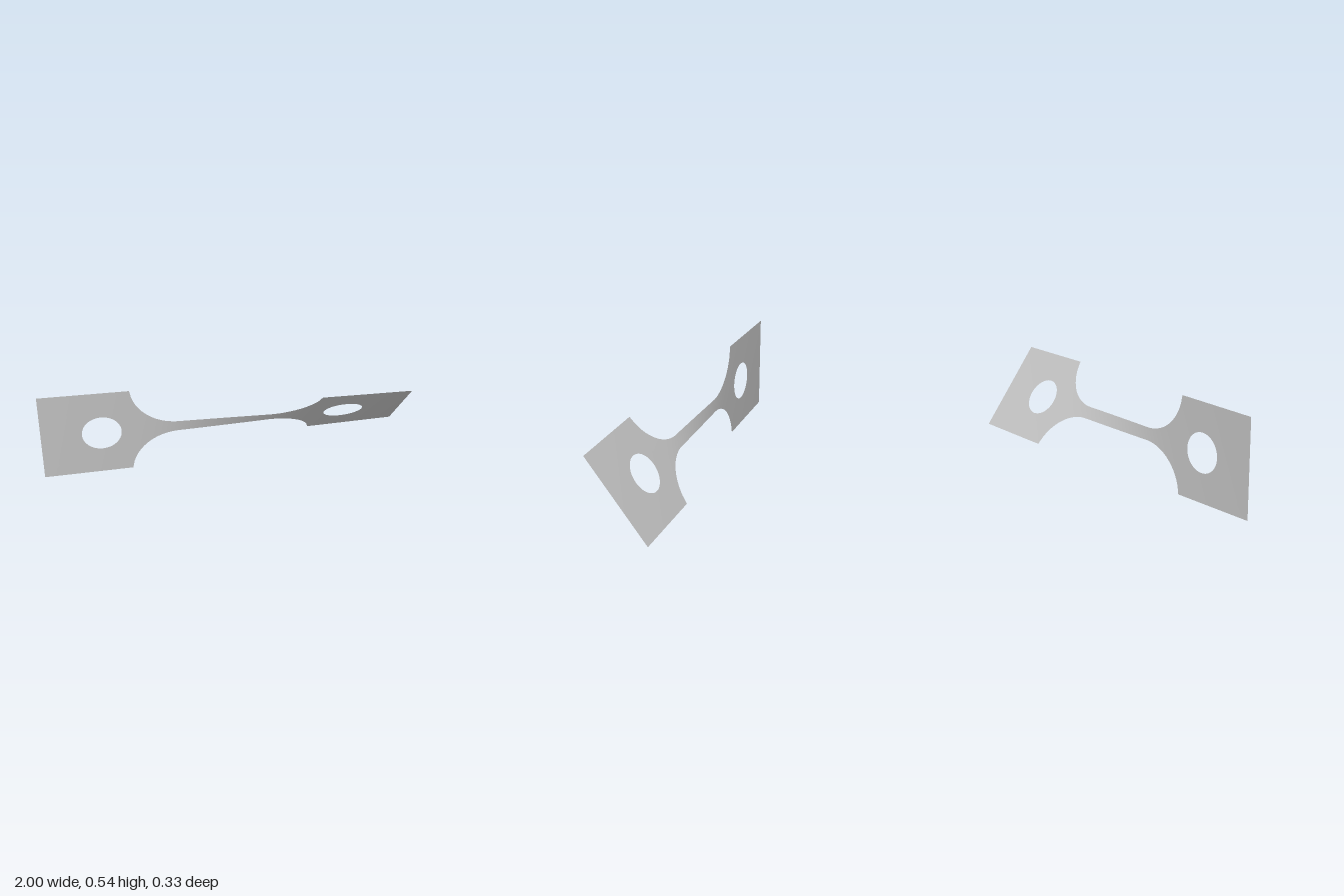
import * as THREE from 'three';

const HALF = 0.27, NECK = 0.035, PLATE_X = 0.51, NECK_X = 0.25, FILLET = 0.2616;
const HOLE_X = 0.67, HOLE_R = 0.108, TWIST = THREE.MathUtils.degToRad(38);

// Half width of the strip along its length: wide ends, round fillets, slim neck
function halfWidth(x) {
  const a = Math.abs(x);
  if (a >= PLATE_X) return HALF;
  if (a <= NECK_X) return NECK;
  return NECK + FILLET - Math.sqrt(FILLET ** 2 - (a - NECK_X) ** 2);
}

// Twist angle along the length: the slimmer the strip, the faster it turns
const STEPS = 400;
const angles = [0];
for (let i = 0; i < STEPS; i++) {
  const x = -1 + (2 * (i + 0.5)) / STEPS;
  angles.push(angles[i] + halfWidth(x) ** -1.2);
}
function angleAt(x) {
  const t = THREE.MathUtils.clamp((x + 1) / 2, 0, 1) * STEPS;
  const i = Math.min(Math.floor(t), STEPS - 1);
  return (TWIST * THREE.MathUtils.lerp(angles[i], angles[i + 1], t - i)) / angles[STEPS];
}

// Grid of flat points (x, v) wrapped onto the twisted sheet
function twistedSheet(cols, rows, pointAt) {
  const pos = [], index = [];
  for (let i = 0; i <= cols; i++) {
    for (let j = 0; j <= rows; j++) {
      const [x, v] = pointAt(i / cols, j / rows);
      const a = angleAt(x);
      pos.push(x, HALF + v * Math.cos(a), v * Math.sin(a));
      if (i < cols && j < rows) {
        const p = i * (rows + 1) + j, q = p + rows + 1;
        index.push(p, q, q + 1, p, q + 1, p + 1);
      }
    }
  }
  const geo = new THREE.BufferGeometry();
  geo.setAttribute('position', new THREE.Float32BufferAttribute(pos, 3));
  geo.setIndex(index);
  geo.computeVertexNormals();
  return geo;
}

// Rectangular end with a round hole: rays from the hole out to the outline
function endPlate(side) {
  const x0 = side < 0 ? -1 : PLATE_X, x1 = side < 0 ? -PLATE_X : 1;
  const corners = [[x0, -HALF], [x0, HALF], [x1, HALF], [x1, -HALF], [x0, -HALF]];
  const cx = side * HOLE_X;
  return twistedSheet(96, 8, (u, t) => {
    const k = Math.min(Math.floor(u * 4), 3), f = u * 4 - k;
    const ox = THREE.MathUtils.lerp(corners[k][0], corners[k + 1][0], f);
    const oy = THREE.MathUtils.lerp(corners[k][1], corners[k + 1][1], f);
    const a = Math.atan2(oy, ox - cx);
    return [
      THREE.MathUtils.lerp(cx + HOLE_R * Math.cos(a), ox, t),
      THREE.MathUtils.lerp(HOLE_R * Math.sin(a), oy, t),
    ];
  });
}

export function createModel() {
  const group = new THREE.Group();
  group.name = 'twistedTestStrip';
  const metal = new THREE.MeshStandardMaterial({ color: 0xbfbfbf, side: THREE.DoubleSide });
  metal.name = 'grey metal';
  const add = (name, geo) => {
    const mesh = new THREE.Mesh(geo, metal);
    mesh.name = name;
    group.add(mesh);
  };

  add('rightEndPlate', endPlate(-1));
  add('leftEndPlate', endPlate(1));
  // Neck with its fillets, reaching from plate to plate
  add('neck', twistedSheet(120, 24, (u, t) => {
    const x = PLATE_X * (2 * u - 1);
    return [x, halfWidth(x) * (2 * t - 1)];
  }));
  return group;
}
